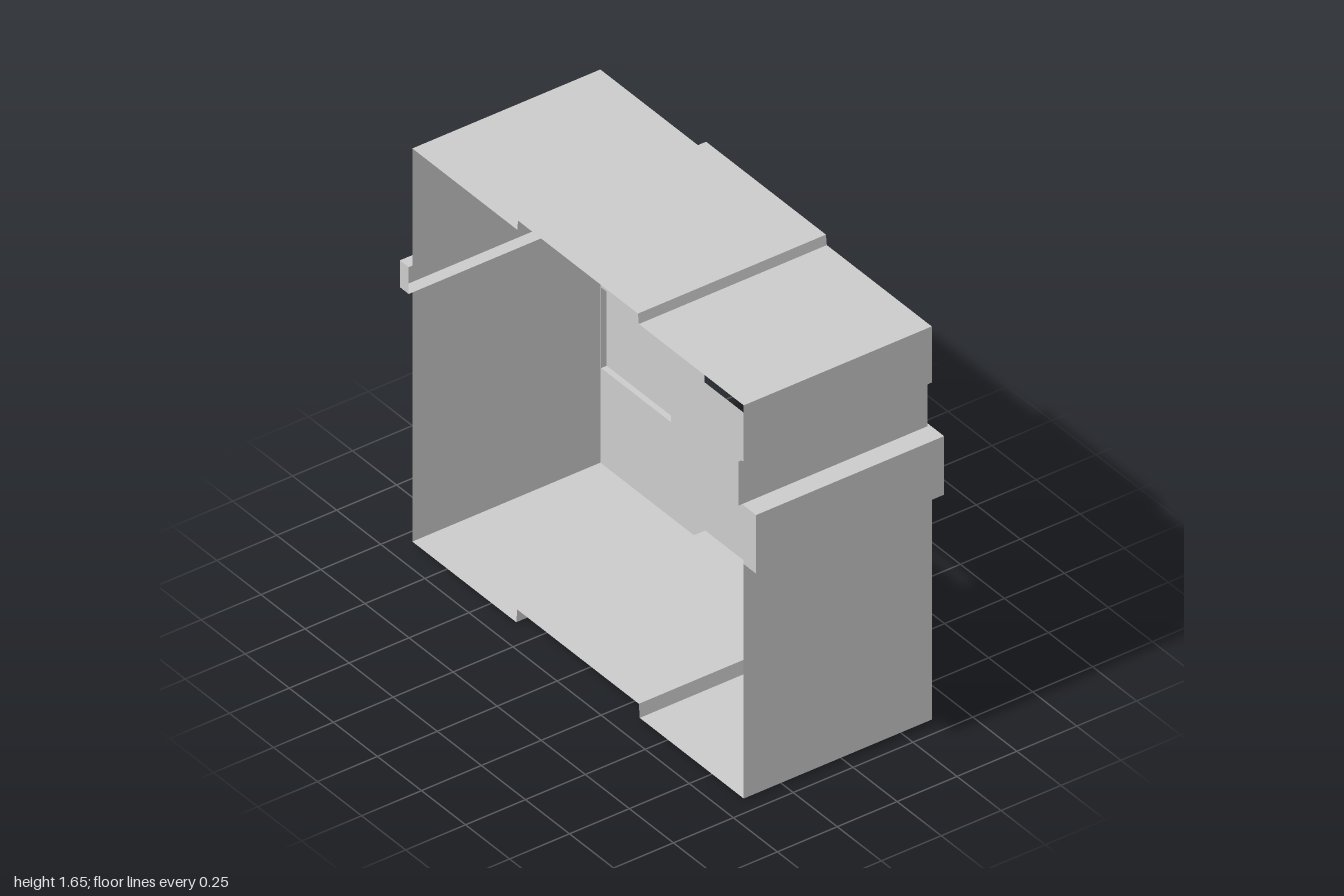
import * as THREE from 'three';

const material = new THREE.MeshStandardMaterial({ color: 0xcccccc, side: THREE.DoubleSide });
const LEFT = 0.38, RIGHT = -0.405, INSET = 0.37, STRIP_END = -0.42;

// All paths are lists of [z, y], clockwise as seen from +x.
const rect = (z0, z1, y0, y1) => [[z0, y0], [z0, y1], [z1, y1], [z1, y0]];

// Thin sheet following a path, spanning x0 to x1
function sheet(path, x0, x1) {
  const pos = [];
  for (let i = 0; i + 1 < path.length; i++) {
    const [az, ay] = path[i], [bz, by] = path[i + 1];
    pos.push(x0, ay, az, x1, ay, az, x1, by, bz, x0, ay, az, x1, by, bz, x0, by, bz);
  }
  const g = new THREE.BufferGeometry();
  g.setAttribute('position', new THREE.Float32BufferAttribute(pos, 3));
  g.computeVertexNormals();
  return g;
}

// Flat face in the plane x, with optional holes
function face(path, x, holes = []) {
  const points = (p) => p.map(([z, y]) => new THREE.Vector2(-z, y));
  const shape = new THREE.Shape(points(path));
  holes.forEach((h) => shape.holes.push(new THREE.Path(points(h))));
  return new THREE.ShapeGeometry(shape).rotateY(Math.PI / 2).translate(x, 0, 0);
}

export function createModel() {
  const model = new THREE.Group();
  const add = (name, geometry, parent = model) => {
    const mesh = new THREE.Mesh(geometry, material);
    mesh.name = name;
    parent.add(mesh);
  };

  // Perimeter of the case: stepped roof, back, notched base and front rib
  const upper = [[0.92, 1.38], [0.93, 1.38], [0.93, 1.61], [0.335, 1.61], [0.33, 1.65],
    [-0.35, 1.65], [-0.355, 1.61], [-0.95, 1.61], [-0.95, 1.13]];
  const lower = [[-0.95, 1.02], [-0.95, 0], [-0.36, 0], [-0.355, 0.055], [0.335, 0.055],
    [0.34, 0], [0.93, 0], [0.93, 0.96], [1, 0.96], [1, 1.2], [0.92, 1.2]];
  add('upperShell', sheet(upper, RIGHT, LEFT));
  add('lowerShell', sheet(lower, RIGHT, LEFT));
  add('frontRibCap', face(rect(1, 0.93, 0.96, 1.2), RIGHT));

  // Inset band at the front, wrapping onto the side
  add('frontBand', sheet([[0.92, 1.2], [0.92, 1.38]], STRIP_END, INSET));
  add('frontBandSide', face(rect(0.92, 0.62, 1.2, 1.38), INSET));
  add('frontBandEdge', sheet([[0.92, 1.38], [0.62, 1.38], [0.62, 1.2], [0.92, 1.2]], INSET, LEFT));

  // Raised strip at the back, wrapping onto the side
  add('backStrip', sheet([[-0.95, 1.13], [-1, 1.13], [-1, 1.02], [-0.95, 1.02]], STRIP_END, INSET));
  add('backStripSide', face(rect(-0.84, -1, 1.02, 1.13), INSET));
  add('backStripEdge', sheet([[-0.95, 1.13], [-0.84, 1.13], [-0.84, 1.02], [-0.95, 1.02]], INSET, LEFT));
  add('backStripCap', face(rect(-0.95, -1, 1.02, 1.13), STRIP_END));

  // Hollow raised panels on the side wall
  const label = rect(0.78, 0.55, 0.96, 1.06);
  const panels = [
    ['upperFrontPanel', rect(0.335, 0.22, 1.36, 1.54), 0.39],
    ['chamferedPanel', [[0.09, 1.16], [0.09, 1.36], [-0.27, 1.36], [-0.35, 1.29], [-0.35, 1.16]], 0.387],
    ['tabPanel', rect(-0.145, -0.27, 1.364, 1.465), 0.387],
    ['largeFrontPanel', rect(0.86, 0.47, 0.765, 1.095), 0.403, [label]],
    ['middleFrontPanel', rect(0.78, 0.525, 0.57, 0.76), 0.395],
    ['lowerFrontPanel', rect(0.85, 0.625, 0.175, 0.37), 0.395],
    ['upperBackPanel', rect(-0.41, -0.835, 0.765, 0.96), 0.402],
    ['lowerBackPanel', rect(-0.55, -0.945, 0.39, 0.72), 0.403],
  ];
  const raise = (name, path, x0, x1, holes) => {
    const group = new THREE.Group();
    group.name = name;
    add(name + 'Face', face(path, x1, holes), group);
    add(name + 'Rim', sheet([...path, path[0]], x0, x1), group);
    model.add(group);
  };
  panels.forEach(([name, path, x, holes]) => raise(name, path, LEFT, x, holes));
  raise('smallFrontPanel', label, 0.403, 0.413);

  // Side wall with the window; the opposite side stays open
  const outline = [[0.62, 1.38], ...upper, [-0.84, 1.13], [-0.84, 1.02], ...lower, [0.62, 1.2]];
  const window = rect(0.34, -0.36, 0.66, 0.96);
  add('sideWall', face(outline, LEFT, [window, ...panels.map((p) => p[1])]));

  return model;
}
